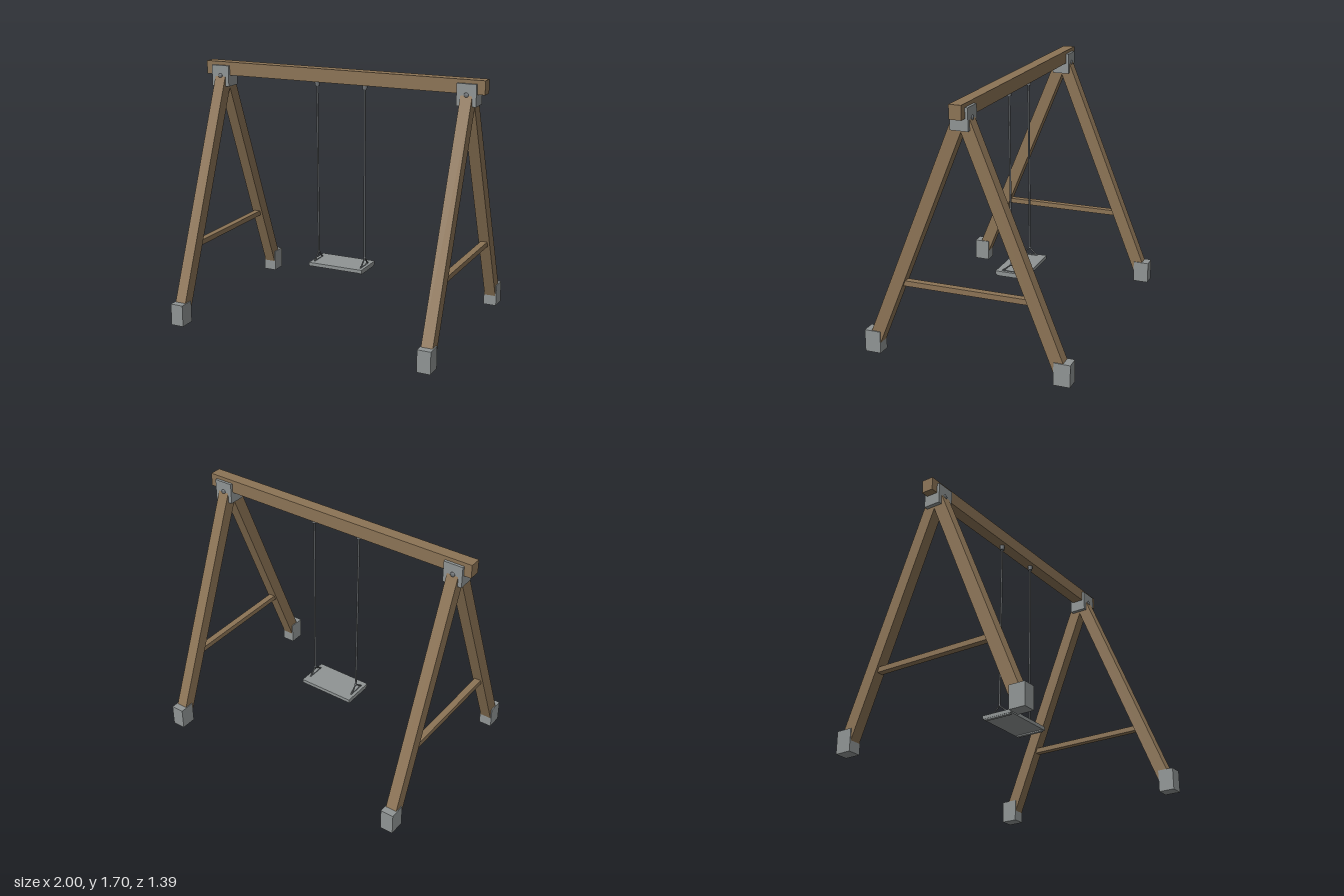
import * as THREE from 'three';

const mat = (name, color) => {
  const m = new THREE.MeshStandardMaterial({ color });
  m.name = name;
  return m;
};

export function createModel() {
  const wood = mat('wood', 0x8b7355);
  const metal = mat('grey metal', 0x8f9494);
  const steel = mat('dark steel', 0x6e7275);
  const model = new THREE.Group();

  const add = (name, geometry, material, x, y, z) => {
    const mesh = new THREE.Mesh(geometry, material);
    mesh.name = name;
    mesh.position.set(x, y, z);
    model.add(mesh);
    return mesh;
  };
  const box = (name, material, [w, h, d], [x, y, z]) =>
    add(name, new THREE.BoxGeometry(w, h, d), material, x, y, z);

  // Orients a geometry's y axis along the line from a to b
  const span = (name, material, a, b, makeGeometry) => {
    const from = new THREE.Vector3(...a);
    const dir = new THREE.Vector3(...b).sub(from);
    const length = dir.length();
    const mid = from.addScaledVector(dir, 0.5);
    const mesh = add(name, makeGeometry(length), material, mid.x, mid.y, mid.z);
    mesh.quaternion.setFromUnitVectors(new THREE.Vector3(0, 1, 0), dir.normalize());
  };
  const rod = (name, a, b, r) =>
    span(name, steel, a, b, (l) => new THREE.CylinderGeometry(r, r, l, 10));

  // Top beam
  box('topBeam', wood, [2, 0.09, 0.08], [0, 1.65, 0]);

  // A-frames at both ends
  for (const x of [-0.885, 0.885]) {
    for (const s of [-1, 1]) {
      span('leg', wood, [x, 0.05, s * 0.64], [x, 1.6, s * 0.011],
        (l) => new THREE.BoxGeometry(0.077, l, 0.084));
      box('foot', metal, [0.09, 0.148, 0.108], [x, 0.074, s * 0.64]);
      box('bracketPlate', metal, [0.13, 0.142, 0.018], [x, 1.6, s * 0.049]);
      // Domed bolt head
      const bolt = add('bolt', new THREE.SphereGeometry(0.016, 16, 10), steel, x, 1.6, s * 0.058);
      bolt.scale.z = 0.5;
    }
    box('bracketSaddle', metal, [0.13, 0.076, 0.09], [x, 1.567, 0]);
    box('crossbar', wood, [0.045, 0.035, 0.83], [x, 0.502, 0]);
  }

  // Swing seat with short lips under its ends
  const seatZ = -0.018;
  box('seat', metal, [0.394, 0.024, 0.222], [0, 0.354, seatZ]);
  for (const s of [-1, 1]) {
    box('seatLip', metal, [0.022, 0.012, 0.2], [s * 0.184, 0.339, seatZ]);

    // Hanger, rope and the triangle that holds the seat
    const x = s * 0.173;
    add('hanger', new THREE.CylinderGeometry(0.017, 0.015, 0.035, 16), steel, x, 1.59, 0);
    const joint = [x, 0.418, -0.013];
    rod('rope', [x, 1.58, 0], joint, 0.0065);
    add('ropeJoint', new THREE.SphereGeometry(0.009, 12, 8), steel, ...joint);
    for (const z of [0.054, -0.07]) rod('seatStrut', joint, [x, 0.362, z], 0.005);
    rod('seatRod', [x, 0.366, 0.054], [x, 0.366, -0.07], 0.004);
  }
  return model;
}
